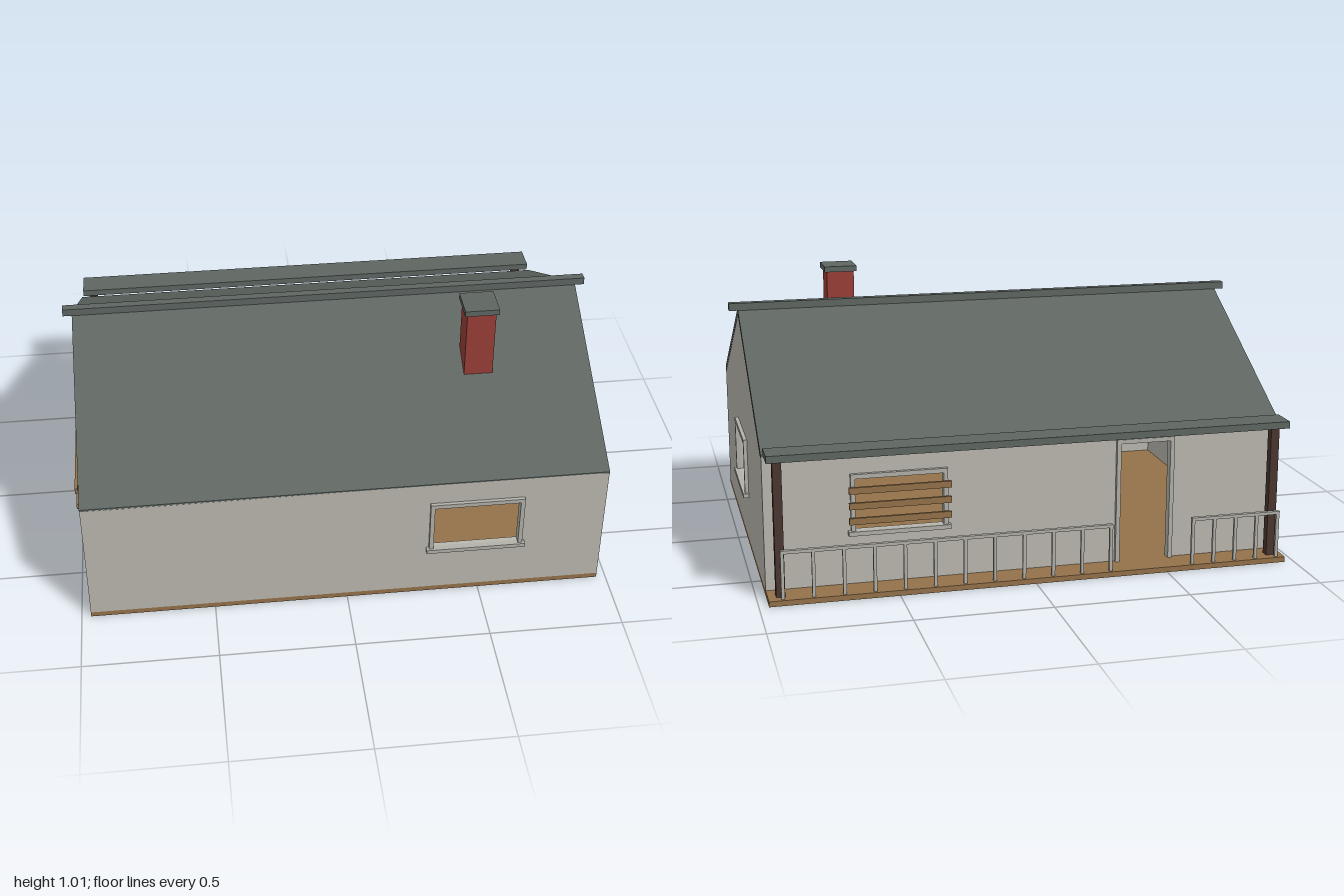
import * as THREE from 'three';

const mat = (name, color) => Object.assign(new THREE.MeshStandardMaterial({ color }), { name });

export function createModel() {
  const house = new THREE.Group();
  house.name = 'house';
  const wall = mat('plaster', 0xbab8ae);
  const roof = mat('slate', 0x5f6662);
  const wood = mat('plank wood', 0x94724a);
  const brick = mat('brick red', 0x993f37);
  const dark = mat('dark timber', 0x4a372f);
  const trim = mat('trim grey', 0xb2b1a9);

  // Box given by its low and high corners
  const box = (name, m, x0, x1, y0, y1, z0, z1, parent = house) => {
    const mesh = new THREE.Mesh(new THREE.BoxGeometry(x1 - x0, y1 - y0, z1 - z0), m);
    mesh.position.set((x0 + x1) / 2, (y0 + y1) / 2, (z0 + z1) / 2);
    mesh.name = name;
    parent.add(mesh);
    return mesh;
  };
  // Flat panel with rectangular holes [u0, u1, y0, y1], extruded in +z
  const panel = (name, m, points, holes, depth) => {
    const shape = new THREE.Shape(points.map(p => new THREE.Vector2(...p)));
    for (const [a, b, c, d] of holes) {
      shape.holes.push(new THREE.Path([[a, c], [a, d], [b, d], [b, c]].map(p => new THREE.Vector2(...p))));
    }
    const mesh = new THREE.Mesh(new THREE.ExtrudeGeometry(shape, { depth, bevelEnabled: false }), m);
    mesh.name = name;
    house.add(mesh);
    return mesh;
  };

  const W = 0.965, F = 0.745, B = -0.655, T = 0.02, RIDGE = 0.045;

  // Floors
  box('floor', wood, -W, W, 0, 0.02, B, F);
  box('porchFloor', wood, -W, W, 0, 0.02, -0.765, B);

  // Long walls
  const long = [[-W + T, 0.02], [W - T, 0.02], [W - T, 0.515], [-W + T, 0.515]];
  const win = [0.32, 0.64, 0.22, 0.415];
  panel('frontWall', wall, long, [win], T).position.z = F - T;
  const back = [[-W + T, 0.02], [-0.535, 0.02], [-0.535, 0.475], [-0.345, 0.475], [-0.345, 0.02],
    ...long.slice(1)];
  panel('backWall', wall, back, [win], T).position.z = B;

  // Gable walls: panel u runs along -z
  const gable = [[-F, 0.02], [-B, 0.02], [-B, 0.512], [-RIDGE, 0.885], [-F, 0.512]];
  const leftGable = panel('leftGable', wall, gable, [[-0.21, 0.115, 0.22, 0.415]], T);
  const rightGable = panel('rightGable', wall, gable, [[-0.415, -0.095, 0.22, 0.415]], T);
  leftGable.rotation.y = rightGable.rotation.y = Math.PI / 2;
  leftGable.position.x = W - T;
  rightGable.position.x = -W;

  // Inner partition with a passage
  box('partitionFront', wall, -0.01, 0.01, 0.02, 0.52, 0.1, F - T);
  box('partitionBack', wall, -0.01, 0.01, 0.02, 0.52, B + T, -0.08);

  // Pitched roof, ridge cap and porch roof
  const pitched = panel('roof', roof, [[-F, 0.51], [-0.715, 0.51], [-RIDGE, 0.88], [0.625, 0.51],
    [-B, 0.51], [-B, 0.52], [-RIDGE, 0.905], [-F, 0.52]], [], 2 * W + 0.002);
  pitched.rotation.y = Math.PI / 2;
  pitched.position.x = -W - 0.001;
  box('ridgeCap', roof, -1, 1, 0.898, 0.926, 0.029, 0.061);
  box('porchRoof', roof, -0.96, 0.96, 0.52, 0.546, -0.767, -0.662);

  // Chimney
  box('chimney', brick, 0.482, 0.59, 0.68, 0.995, 0.26, 0.367);
  box('chimneyCap', roof, 0.472, 0.6, 0.993, 1.015, 0.249, 0.376);

  // Window surround, facing local +z, with optional boards at given heights
  const windowFrame = (name, x, z, angle, boards = []) => {
    const g = new THREE.Group();
    g.name = name;
    for (const s of [-1, 1]) {
      box('frameSide', trim, s * 0.168 - 0.008, s * 0.168 + 0.008, 0.22, 0.43, -0.003, 0.014, g);
    }
    box('frameTop', trim, -0.16, 0.16, 0.413, 0.43, -0.003, 0.014, g);
    box('sill', trim, -0.186, 0.186, 0.204, 0.22, -0.003, 0.022, g);
    for (const y of boards) box('board', wood, -0.185, 0.185, y - 0.012, y + 0.012, 0.022, 0.033, g);
    g.position.set(x, 0, z);
    g.rotation.y = angle;
    house.add(g);
  };
  windowFrame('frontWindow', 0.48, F, 0);
  windowFrame('backWindow', 0.48, B, Math.PI, [0.262, 0.318, 0.375]);
  windowFrame('leftWindow', W, 0.047, Math.PI / 2);
  windowFrame('rightWindow', -W, 0.255, -Math.PI / 2, [0.282, 0.358]);

  // Door surround
  for (const x of [-0.551, -0.345]) box('doorJamb', trim, x, x + 0.016, 0.02, 0.49, -0.669, B + 0.003);
  box('doorHead', trim, -0.535, -0.345, 0.474, 0.49, -0.669, B + 0.003);

  // Porch posts
  for (const x of [-0.92, 0.92]) box('porchPost', dark, x - 0.016, x + 0.016, 0.02, 0.52, -0.731, -0.7);

  // Porch railings
  const railing = (name, x0, x1, count) => {
    const g = new THREE.Group();
    g.name = name;
    box('handrail', trim, x0, x1, 0.187, 0.199, -0.757, -0.742, g);
    for (let i = 0; i < count; i++) {
      const x = x0 + 0.006 + (x1 - x0 - 0.012) * i / (count - 1);
      box('baluster', trim, x - 0.006, x + 0.006, 0.02, 0.188, -0.755, -0.744, g);
    }
    house.add(g);
  };
  railing('longRailing', -0.29, 0.92, 12);
  railing('shortRailing', -0.94, -0.595, 5);

  return house;
}
